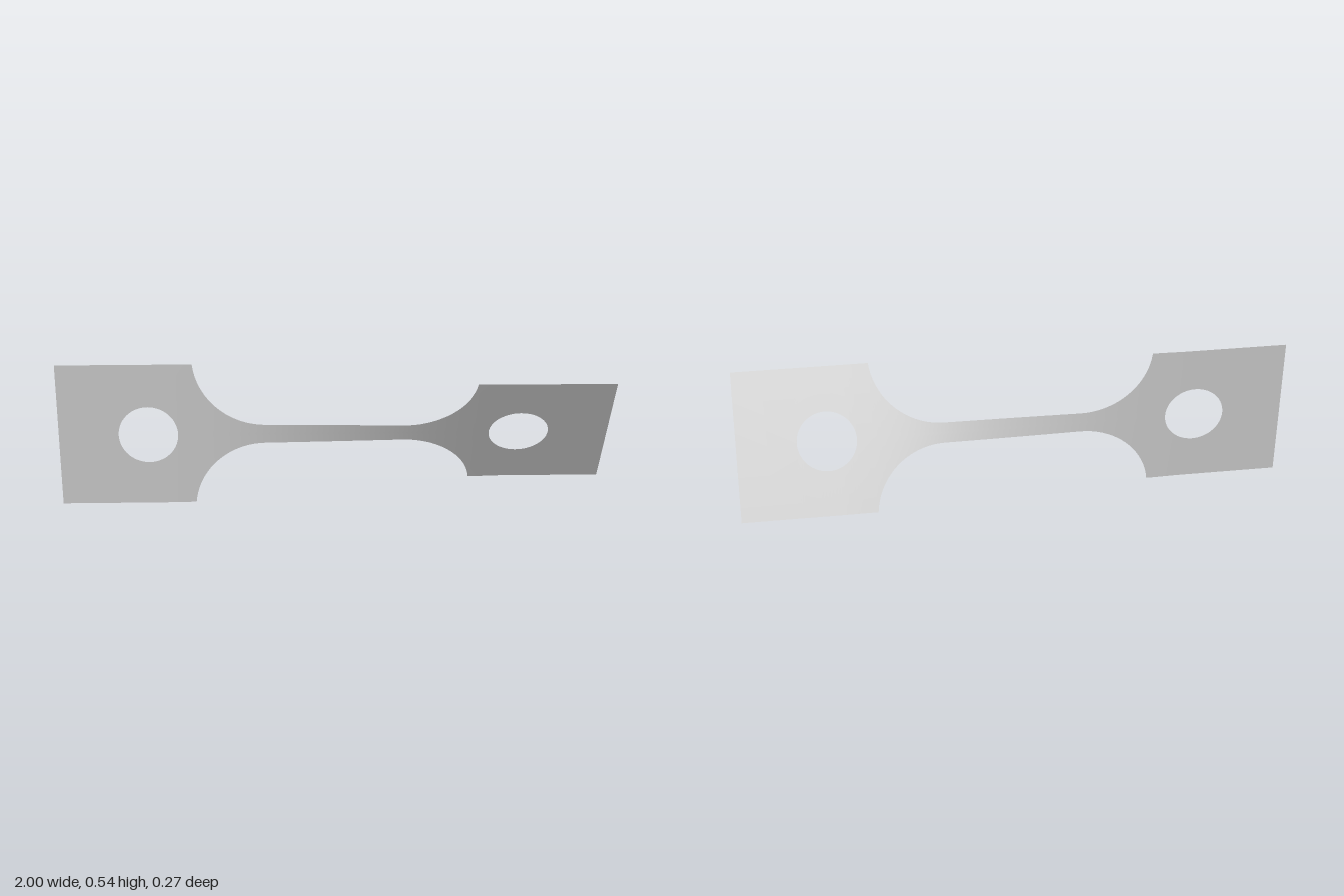
import * as THREE from 'three';
import { mergeVertices } from 'three/addons/utils/BufferGeometryUtils.js';

const HALF = 0.271;                            // half height of the end tabs
const NECK = 0.037, NECK_END = 0.25;           // half height and end of the narrow neck
const FILLET = 0.26;                           // shoulder radius
const HOLE_X = 0.675, HOLE_R = 0.108;
const TWIST = Math.PI / 6, TWIST_END = 0.62;   // total twist, and where it stops
const FILLET_DX = Math.sqrt(FILLET ** 2 - (NECK + FILLET - HALF) ** 2);

// Half height of the outline at x
function outer(x) {
  const d = Math.abs(x) - NECK_END;
  if (d <= 0) return NECK;
  if (d >= FILLET_DX) return HALF;
  return NECK + FILLET - Math.sqrt(FILLET ** 2 - d * d);
}

// Half height of the hole at x
function inner(x) {
  const d = Math.abs(x) - HOLE_X;
  return Math.sqrt(Math.max(0, HOLE_R ** 2 - d * d));
}

// A thin strip twists at a rate inverse to its width
function makeTwist() {
  const n = 1000, sums = [0];
  for (let i = 0; i < n; i++) {
    const x = -TWIST_END + ((i + 0.5) / n) * 2 * TWIST_END;
    sums.push(sums[i] + 1 / (outer(x) - inner(x)));
  }
  return (x) => {
    const t = THREE.MathUtils.clamp((x + TWIST_END) / (2 * TWIST_END), 0, 1) * n;
    const i = Math.min(Math.floor(t), n - 1);
    return TWIST * THREE.MathUtils.lerp(sums[i], sums[i + 1], t - i) / sums[n];
  };
}

// Columns along x, denser around the shoulders and holes
function makeColumns() {
  const half = [];
  for (let i = 1; i <= 12; i++) half.push(NECK_END * i / 12);
  const sweep = Math.asin(FILLET_DX / FILLET);
  for (let i = 1; i <= 18; i++) half.push(NECK_END + FILLET * Math.sin(sweep * i / 18));
  for (let i = 0; i <= 28; i++) half.push(HOLE_X - HOLE_R * Math.cos(Math.PI * i / 28));
  half.push(0.89, 1);
  return [...half.map((x) => -x).reverse(), 0, ...half];
}

function makeSheet() {
  const xs = makeColumns(), twist = makeTwist(), rows = 5;
  const pos = [], index = [];
  for (const side of [1, -1]) {
    const base = pos.length / 3;
    xs.forEach((x, c) => {
      const a = twist(x), lo = inner(x), hi = outer(x);
      for (let r = 0; r <= rows; r++) {
        const s = side * THREE.MathUtils.lerp(lo, hi, r / rows);
        pos.push(x, HALF + s * Math.cos(a), s * Math.sin(a));
        if (c === 0 || r === 0) continue;
        const d = base + c * (rows + 1) + r, e = d - 1;
        const f = d - rows - 1, g = f - 1;
        if (side > 0) index.push(g, e, d, g, d, f);
        else index.push(g, d, e, g, f, d);
      }
    });
  }
  let geo = new THREE.BufferGeometry();
  geo.setAttribute('position', new THREE.Float32BufferAttribute(pos, 3));
  geo.setIndex(index);
  geo = mergeVertices(geo, 1e-5);
  geo.computeVertexNormals();
  return geo;
}

export function createModel() {
  const group = new THREE.Group();
  group.name = 'twistedTestStrip';
  const metal = new THREE.MeshStandardMaterial({ color: 0xbfbfbf, side: THREE.DoubleSide });
  metal.name = 'light grey';
  const strip = new THREE.Mesh(makeSheet(), metal);
  strip.name = 'twistedStrip';
  group.add(strip);
  return group;
}
